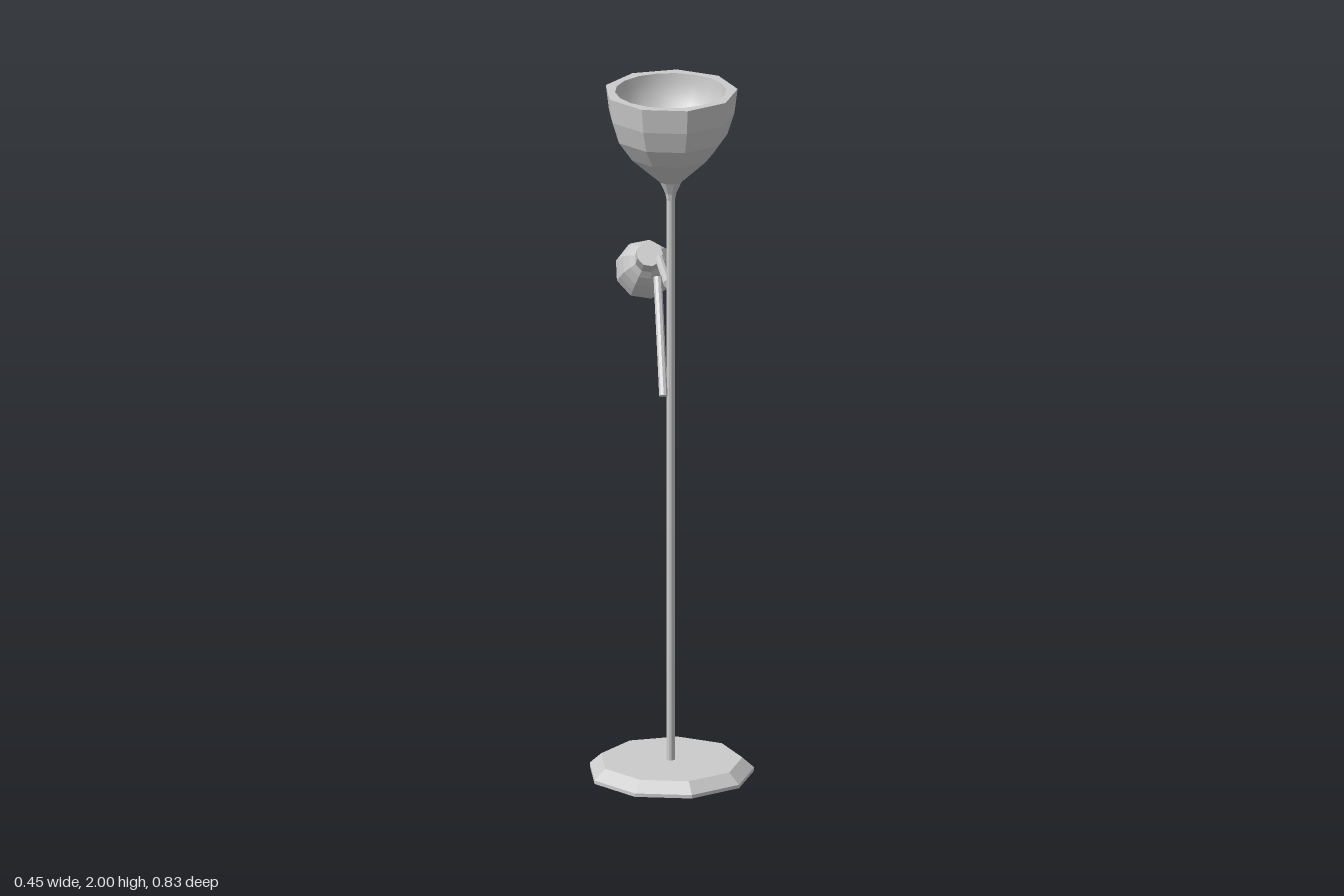
import * as THREE from 'three';

const SIDES = 9;
const flat = new THREE.MeshStandardMaterial({ color: 0xcccccc, flatShading: true });
const smooth = new THREE.MeshStandardMaterial({ color: 0xcccccc, side: THREE.DoubleSide });

function add(parent, name, geometry, material = flat) {
  const mesh = new THREE.Mesh(geometry, material);
  mesh.name = name;
  parent.add(mesh);
  return mesh;
}

// Faceted solid of revolution from [radius, height] pairs, with a corner on +x
function turned(profile) {
  const points = profile.map(([r, y]) => new THREE.Vector2(r, y));
  return new THREE.LatheGeometry(points, SIDES, Math.PI / 2);
}

function ring(radius, count) {
  return Array.from({ length: count }, (_, i) => {
    const a = (i / count) * Math.PI * 2;
    return new THREE.Vector2(radius * Math.cos(a), radius * Math.sin(a));
  });
}

// Round bowl sunk into a shade, plus the flat rim joining it to the faceted edge
function hollow(parent, name, outer, inner, depth, y) {
  const points = Array.from({ length: 10 }, (_, i) => {
    const a = (i / 9) * Math.PI / 2;
    return new THREE.Vector2(i === 9 ? 0 : inner * Math.cos(a), y - depth * Math.sin(a));
  });
  add(parent, name + 'Bowl', new THREE.LatheGeometry(points, 18, Math.PI / 2), smooth);
  const shape = new THREE.Shape(ring(outer, SIDES));
  shape.holes.push(new THREE.Path(ring(inner, 18).reverse()));
  const rim = new THREE.ShapeGeometry(shape).rotateX(-Math.PI / 2).translate(0, y, 0);
  add(parent, name + 'Rim', rim);
}

// Straight rod between two points
function rod(parent, name, from, to, radius) {
  const a = new THREE.Vector3(...from), b = new THREE.Vector3(...to);
  const dir = b.clone().sub(a);
  const mesh = add(parent, name, new THREE.CylinderGeometry(radius, radius, dir.length(), SIDES));
  mesh.position.copy(a).add(b).multiplyScalar(0.5);
  mesh.quaternion.setFromUnitVectors(new THREE.Vector3(0, 1, 0), dir.normalize());
}

export function createModel() {
  const lamp = new THREE.Group();
  lamp.name = 'floorLamp';

  // Base, pole and upward shade share one axis
  const stand = new THREE.Group();
  stand.name = 'stand';
  stand.position.set(-0.008, 0, 0.188);
  lamp.add(stand);
  add(stand, 'base', turned([[0, 0], [0.233, 0], [0.233, 0.01], [0.2, 0.04], [0, 0.04]]));
  add(stand, 'pole', turned([[0.012, 0.04], [0.012, 1.7]]));
  add(stand, 'upperShade', turned([
    [0.012, 1.68], [0.016, 1.7], [0.032, 1.735], [0.068, 1.767],
    [0.118, 1.812], [0.158, 1.868], [0.178, 1.93], [0.187, 2],
  ]));
  hollow(stand, 'upperShade', 0.187, 0.155, 0.155, 2);

  // Jointed side arm
  rod(lamp, 'lowerArm', [-0.031, 1.116, 0.22], [-0.031, 1.4, 0.026], 0.012);
  rod(lamp, 'upperArm', [-0.008, 1.4, 0.088], [-0.008, 1.373, -0.268], 0.012);

  // Reading head, built along its own axis and tilted down and back
  const head = new THREE.Group();
  head.name = 'readingHead';
  head.position.set(-0.035, 1.394, -0.2);
  head.rotation.x = -2.125;
  lamp.add(head);
  add(head, 'socket', turned([[0, 0], [0.037, 0], [0.037, 0.085], [0, 0.085]]));
  add(head, 'readingShade', turned([
    [0, 0.066], [0.034, 0.068], [0.052, 0.092], [0.068, 0.123], [0.078, 0.16], [0.084, 0.197],
  ]));
  hollow(head, 'readingShade', 0.084, 0.069, 0.069, 0.197);

  return lamp;
}
